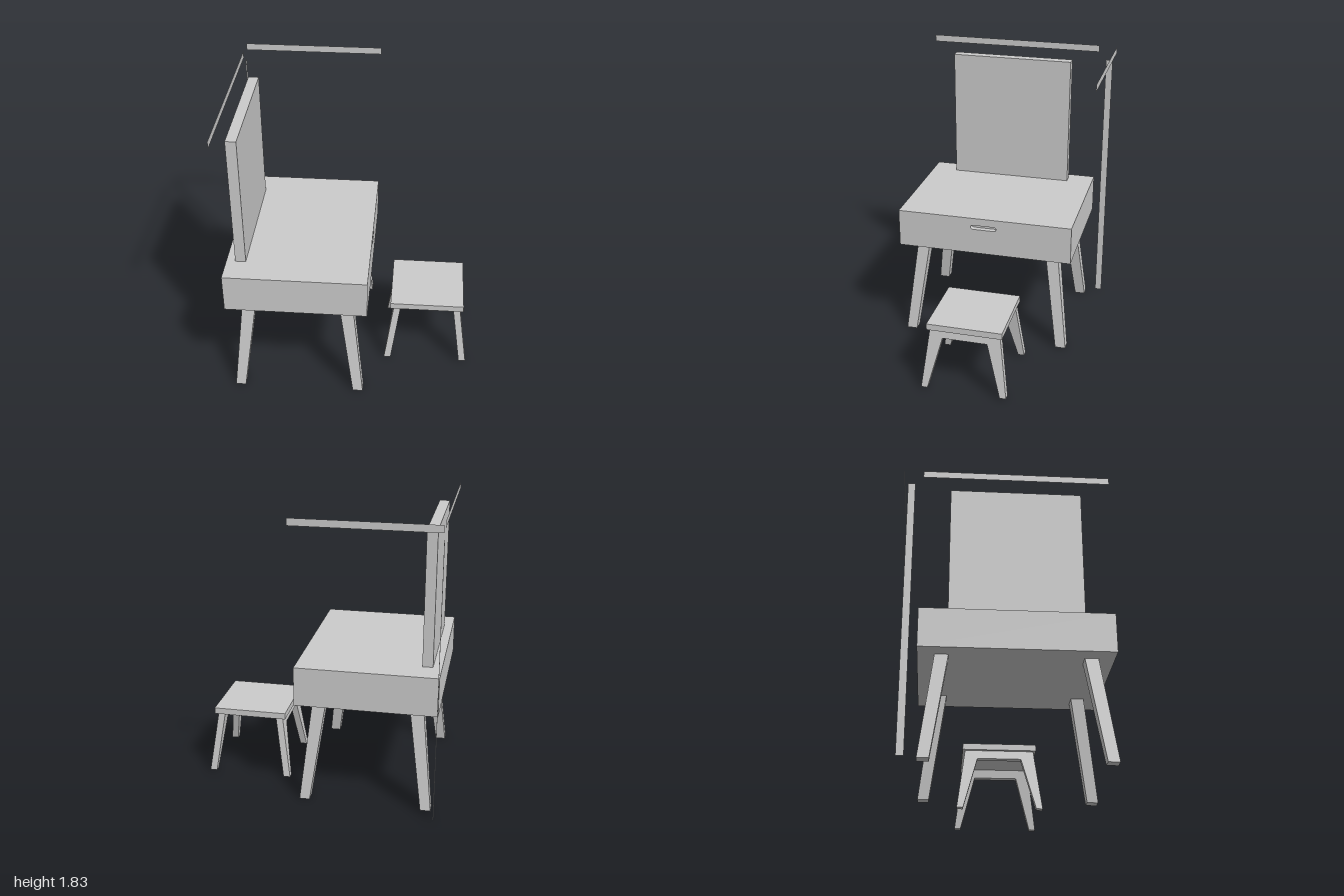
import * as THREE from 'three';

const material = new THREE.MeshStandardMaterial({ color: 0xcccccc, flatShading: true });
const thinMaterial = new THREE.MeshStandardMaterial({ color: 0xcccccc, flatShading: true, side: THREE.DoubleSide });

function add(parent, name, geometry, mat = material) {
  const mesh = new THREE.Mesh(geometry, mat);
  mesh.name = name;
  parent.add(mesh);
  return mesh;
}

// Box given by its limits on each axis
function block(x0, x1, y0, y1, z0, z1) {
  return new THREE.BoxGeometry(x1 - x0, y1 - y0, z1 - z0)
    .translate((x0 + x1) / 2, (y0 + y1) / 2, (z0 + z1) / 2);
}

// Splayed, tapered leg; top and bottom give the inner and outer offsets in x and z
function splayedLeg(sx, sz, height, top, bottom) {
  const g = new THREE.BoxGeometry(2, 2, 2);
  const p = g.attributes.position;
  for (let i = 0; i < p.count; i++) {
    const up = p.getY(i) > 0;
    const { x, z } = up ? top : bottom;
    p.setXYZ(i,
      sx * (x[0] + x[1]) / 2 + p.getX(i) * (x[1] - x[0]) / 2,
      up ? height : 0,
      sz * (z[0] + z[1]) / 2 + p.getZ(i) * (z[1] - z[0]) / 2);
  }
  g.computeVertexNormals();
  return g;
}

// Arched pair of stool legs joined by a rail, leaning outwards to side s
function stoolFrame(s) {
  const points = [[-0.27, 0.01], [-0.23, 0.01], [-0.14, 0.35], [0.14, 0.35],
    [0.23, 0.01], [0.27, 0.01], [0.22, 0.405], [-0.22, 0.405]];
  const shape = new THREE.Shape(points.map(([u, v]) => new THREE.Vector2(u, v)));
  const g = new THREE.ExtrudeGeometry(shape, { depth: 0.044, bevelEnabled: false });
  g.translate(0, 0, -0.022).rotateY(Math.PI / 2);
  const p = g.attributes.position;
  for (let i = 0; i < p.count; i++) {
    const t = (p.getY(i) - 0.01) / 0.395;
    p.setX(i, p.getX(i) + s * THREE.MathUtils.lerp(0.249, 0.193, t));
  }
  g.computeVertexNormals();
  return g;
}

// Drawer front with a round-ended finger slot, facing +x
function drawerFront(x0, x1) {
  const shape = new THREE.Shape();
  shape.moveTo(-0.70, 0.645).lineTo(0.435, 0.645).lineTo(0.435, 0.89).lineTo(-0.70, 0.89).closePath();
  const r = 0.014, y = 0.827;
  const slot = new THREE.Path();
  slot.absarc(-0.064, y, r, -Math.PI / 2, Math.PI / 2, false);
  slot.absarc(-0.204, y, r, Math.PI / 2, Math.PI * 1.5, false);
  slot.closePath();
  shape.holes.push(slot);
  return new THREE.ExtrudeGeometry(shape, { depth: x1 - x0, bevelEnabled: false, curveSegments: 6 })
    .rotateY(Math.PI / 2).translate(x0, 0, 0);
}

export function createModel() {
  const model = new THREE.Group();
  model.name = 'dressingTableSet';

  // Dressing table
  const table = new THREE.Group();
  table.name = 'dressingTable';
  model.add(table);
  add(table, 'tableBody', block(-0.755, 0.085, 0.645, 0.89, -0.435, 0.70));
  add(table, 'drawerFront', drawerFront(0.085, 0.12));
  add(table, 'mirrorPanel', block(-0.70, -0.635, 0.89, 1.735, -0.265, 0.533));

  const top = { x: [0.258, 0.342], z: [0.39, 0.47] };
  const bottom = { x: [0.348, 0.412], z: [0.482, 0.55] };
  for (const sx of [-1, 1]) {
    for (const sz of [-1, 1]) {
      add(table, 'tableLeg', splayedLeg(sx, sz, 0.645, top, bottom)).position.set(-0.318, 0, 0.134);
    }
  }

  // Stool
  const stool = new THREE.Group();
  stool.name = 'stool';
  stool.position.set(0.485, 0, 0.095);
  model.add(stool);
  add(stool, 'seat', block(-0.236, 0.236, 0.405, 0.445, -0.236, 0.236));
  for (const s of [-1, 1]) add(stool, 'stoolLegFrame', stoolFrame(s));

  // Flat measuring bars for depth, width and height
  add(model, 'depthBar', new THREE.PlaneGeometry(0.875, 0.044), thinMaterial)
    .position.set(-0.318, 1.807, -0.55);
  const widthBar = add(model, 'widthBar', new THREE.PlaneGeometry(1.135, 0.044), thinMaterial);
  widthBar.position.set(-0.755, 1.807, 0.134);
  widthBar.rotation.y = Math.PI / 2;
  const heightBar = add(model, 'heightBar', new THREE.PlaneGeometry(0.044, 1.735), thinMaterial);
  heightBar.position.set(-0.755, 0.868, -0.503);
  heightBar.rotation.y = Math.PI / 2;

  return model;
}
